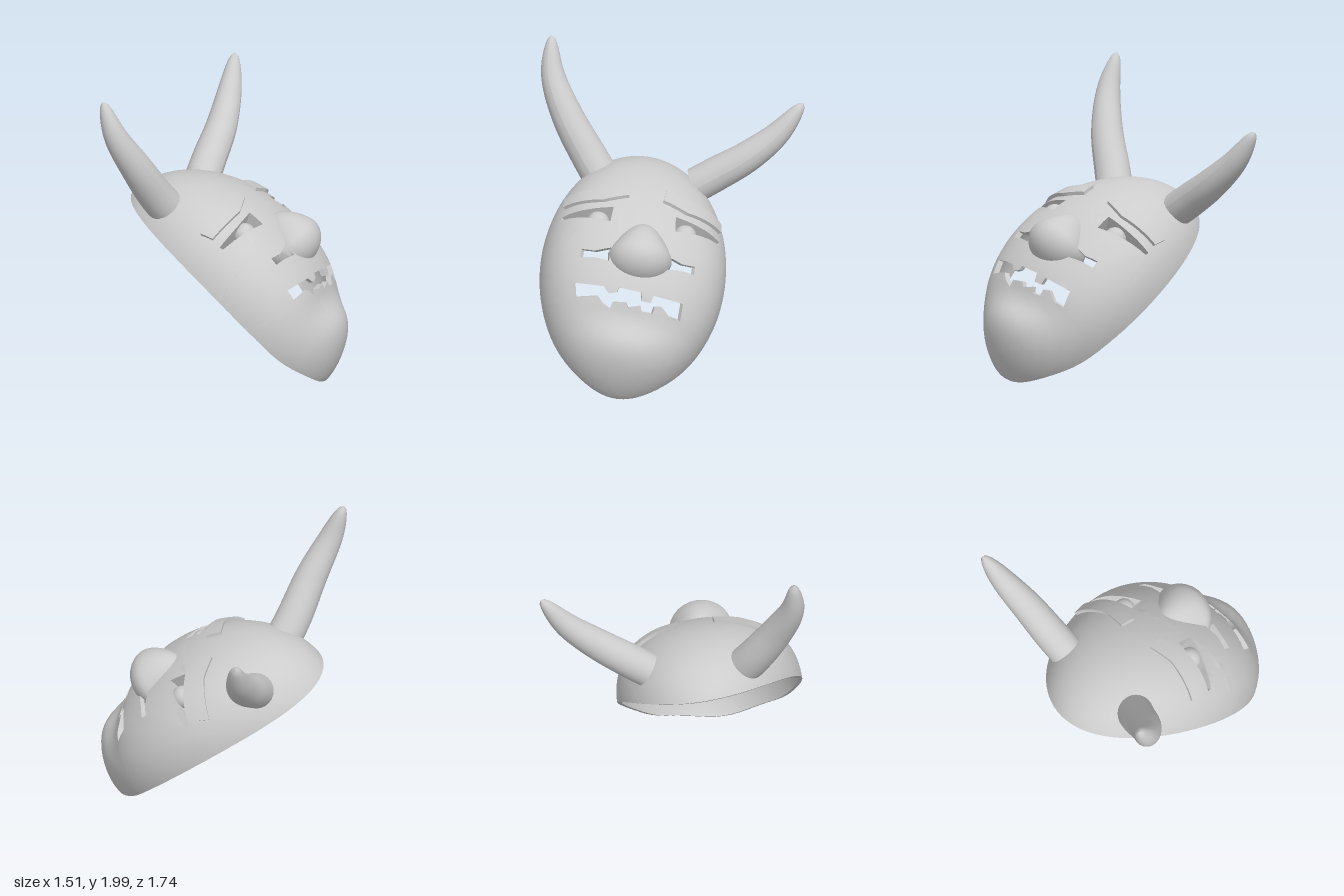
import * as THREE from 'three';
import { toCreasedNormals } from 'three/addons/utils/BufferGeometryUtils.js';

const HALF_L = 0.86, DEPTH = 0.6, SLAB = 0.06;
const halfWidth = y => 0.605 * (1 - 0.05 * y); // jaw slightly wider than the forehead
const material = new THREE.MeshStandardMaterial({ color: 0xcccccc, side: THREE.DoubleSide });

function addMesh(parent, name, geometry) {
  const mesh = new THREE.Mesh(geometry, material);
  mesh.name = name;
  parent.add(mesh);
  return mesh;
}

// Flat unit disc -> domed face, k scales it in or out
function dome(x, y, k = 1) {
  const r = Math.hypot(x, y) || 1e-6, a = r * Math.PI / 2;
  const sx = Math.sin(a) * x / r, sy = Math.sin(a) * y / r;
  const edge = Math.max(0, -sy) ** 8;                     // chin edge hangs lower
  const t = HALF_L * sy;
  const bump = (c, w) => Math.exp(-(((t - c) / w) ** 2)) * Math.exp(-((sx / 0.5) ** 2));
  const h = DEPTH * Math.cos(a) + 0.13 * sx * sx          // sides of the rim are lifted
    + 0.08 * bump(-0.77, 0.14) - 0.035 * bump(-0.54, 0.1) // chin and dip below the mouth
    - 0.045 * edge;
  return new THREE.Vector3(halfWidth(sy) * sx, t - 0.04 * edge, h).multiplyScalar(k);
}

// Face position -> flat disc
function toDisc([s, t]) {
  const b = t / HALF_L, a = s / halfWidth(b), p = Math.hypot(a, b);
  const f = Math.asin(Math.min(p, 1)) * 2 / Math.PI / p;
  return new THREE.Vector2(a * f, b * f);
}

// Splits every edge longer than the limit, so flat slabs can bend
function subdivide(geometry, limit) {
  const pos = geometry.attributes.position, out = [];
  const get = i => new THREE.Vector3().fromBufferAttribute(pos, i);
  function split(a, b, c) {
    const ab = a.distanceTo(b), bc = b.distanceTo(c), ca = c.distanceTo(a);
    const m = Math.max(ab, bc, ca);
    if (m <= limit) { out.push(a, b, c); return; }
    if (m === bc) [a, b, c] = [b, c, a];
    else if (m === ca) [a, b, c] = [c, a, b];
    const mid = a.clone().add(b).multiplyScalar(0.5);
    split(a, mid, c);
    split(mid, b, c);
  }
  for (let i = 0; i < pos.count; i += 3) split(get(i), get(i + 1), get(i + 2));
  return out;
}

// Slab that follows the dome between the scales k0 and k1
function bentSlab(outline, holes, k0, k1) {
  const shape = new THREE.Shape(outline);
  shape.holes = holes.map(h => new THREE.Path(h));
  const flat = new THREE.ExtrudeGeometry(shape, { depth: SLAB, bevelEnabled: false });
  const points = subdivide(flat, 0.07).map(p => dome(p.x, p.y, k0 + (k1 - k0) * p.z / SLAB));
  return toCreasedNormals(new THREE.BufferGeometry().setFromPoints(points), 0.6);
}

// Tapered curved horn with a rounded tip
function horn(points, radius) {
  const curve = new THREE.CatmullRomCurve3(points.map(p => new THREE.Vector3(...p)));
  const rings = 40, sides = 24;
  const geometry = new THREE.TubeGeometry(curve, rings, 1, sides);
  const pos = geometry.attributes.position, v = new THREE.Vector3();
  for (let i = 0; i <= rings; i++) {
    const u = i / rings, c = curve.getPointAt(u);
    const r = radius * Math.sqrt(Math.max(0, 1 - u ** 1.9));
    for (let j = 0; j <= sides; j++) {
      const n = i * (sides + 1) + j;
      v.fromBufferAttribute(pos, n).sub(c).multiplyScalar(r).add(c);
      pos.setXYZ(n, v.x, v.y, v.z);
    }
  }
  geometry.computeVertexNormals();
  return geometry;
}

const mouth = [
  [-0.4, -0.34], [-0.2, -0.37], [-0.16, -0.41], [-0.11, -0.4], [-0.1, -0.37], [0.05, -0.38],
  [0.06, -0.43], [0.12, -0.43], [0.13, -0.385], [0.33, -0.38], [0.33, -0.48], [0.26, -0.48],
  [0.2, -0.44], [0.15, -0.45], [0.14, -0.49], [0.07, -0.49], [0.06, -0.46], [-0.02, -0.48],
  [-0.04, -0.455], [-0.13, -0.46], [-0.14, -0.5], [-0.2, -0.47], [-0.24, -0.43], [-0.38, -0.43]];
const eye = [[0.205, 0.2], [0.215, 0.085], [0.36, 0.115], [0.52, 0.14], [0.52, 0.165], [0.36, 0.185]];
const brow = [[0.125, 0.385], [0.11, 0.29], [0.27, 0.24], [0.505, 0.23], [0.5, 0.31], [0.28, 0.34]];
const nostril = [[0.19, -0.11], [0.19, -0.2], [0.29, -0.18], [0.375, -0.175], [0.375, -0.12], [0.29, -0.135]];
const mirrored = (points, side) => points.map(([s, t]) => toDisc([s * side, t]));

export function createModel() {
  const model = new THREE.Group();
  model.name = 'hornedMask';

  // Face frame: y to the forehead, z out of the face
  const face = new THREE.Group();
  face.name = 'face';
  const n = new THREE.Vector3(0.57, 0.775, -0.275).normalize();
  const u = new THREE.Vector3(-0.785, 0.61, 0.09);
  u.addScaledVector(n, -u.dot(n)).normalize();
  const across = new THREE.Vector3().crossVectors(u, n);
  face.quaternion.setFromRotationMatrix(new THREE.Matrix4().makeBasis(across, u, n));
  face.position.set(-0.08, 0.55, 0.155);
  model.add(face);

  // Hollow shell with cut-out eyes, nostrils and toothed mouth
  const rim = [];
  for (let i = 0; i < 72; i++) {
    const a = i / 72 * Math.PI * 2;
    rim.push(new THREE.Vector2(Math.cos(a), Math.sin(a)));
  }
  const holes = [mirrored(mouth, 1)];
  for (const side of [1, -1]) holes.push(mirrored(eye, side), mirrored(nostril, side));
  addMesh(face, 'shell', bentSlab(rim, holes, 0.95, 1));

  for (const side of [1, -1]) {
    const label = side > 0 ? 'Left' : 'Right';
    // Brow bar passing through the shell
    addMesh(face, 'brow' + label, bentSlab(mirrored(brow, side), [], 0.8, 1.035));
    // Socket walls behind the eye cut-out
    const inner = mirrored(eye, side);
    const mid = inner.reduce((m, p) => m.add(p), new THREE.Vector2()).divideScalar(inner.length);
    const outer = inner.map(p => p.clone().sub(mid).multiplyScalar(1.1).add(mid));
    addMesh(face, 'eyeSocket' + label, bentSlab(outer, [inner], 0.78, 0.97));
    // Eyeball
    const d = toDisc([0.33 * side, 0.14]);
    addMesh(face, 'eyeball' + label, new THREE.SphereGeometry(0.075, 20, 14))
      .position.copy(dome(d.x, d.y, 0.87));
  }

  // Bulbous nose drawn out towards the brow
  const noseGeometry = new THREE.SphereGeometry(1, 28, 20);
  const np = noseGeometry.attributes.position;
  for (let i = 0; i < np.count; i++) {
    const y = np.getY(i), up = Math.max(0, y);
    np.setXYZ(i, np.getX(i) * (0.21 - 0.05 * up), y * (0.16 + 0.08 * up), np.getZ(i) * 0.2);
  }
  noseGeometry.computeVertexNormals();
  addMesh(face, 'nose', noseGeometry).position.set(0.01, -0.13, 0.53);

  // Horns
  addMesh(model, 'hornRight', horn([[-0.36, 1.1, 0.41], [-0.4, 1.25, 0.52], [-0.45, 1.5, 0.68],
    [-0.53, 1.75, 0.8], [-0.61, 1.99, 0.83]], 0.12));
  addMesh(model, 'hornLeft', horn([[-0.49, 1.09, -0.18], [-0.52, 1.17, -0.31], [-0.56, 1.29, -0.5],
    [-0.62, 1.45, -0.69], [-0.68, 1.66, -0.85]], 0.115));

  // Stand on the ground
  const box = new THREE.Box3().setFromObject(model, true);
  for (const part of model.children) part.position.y -= box.min.y;
  return model;
}
